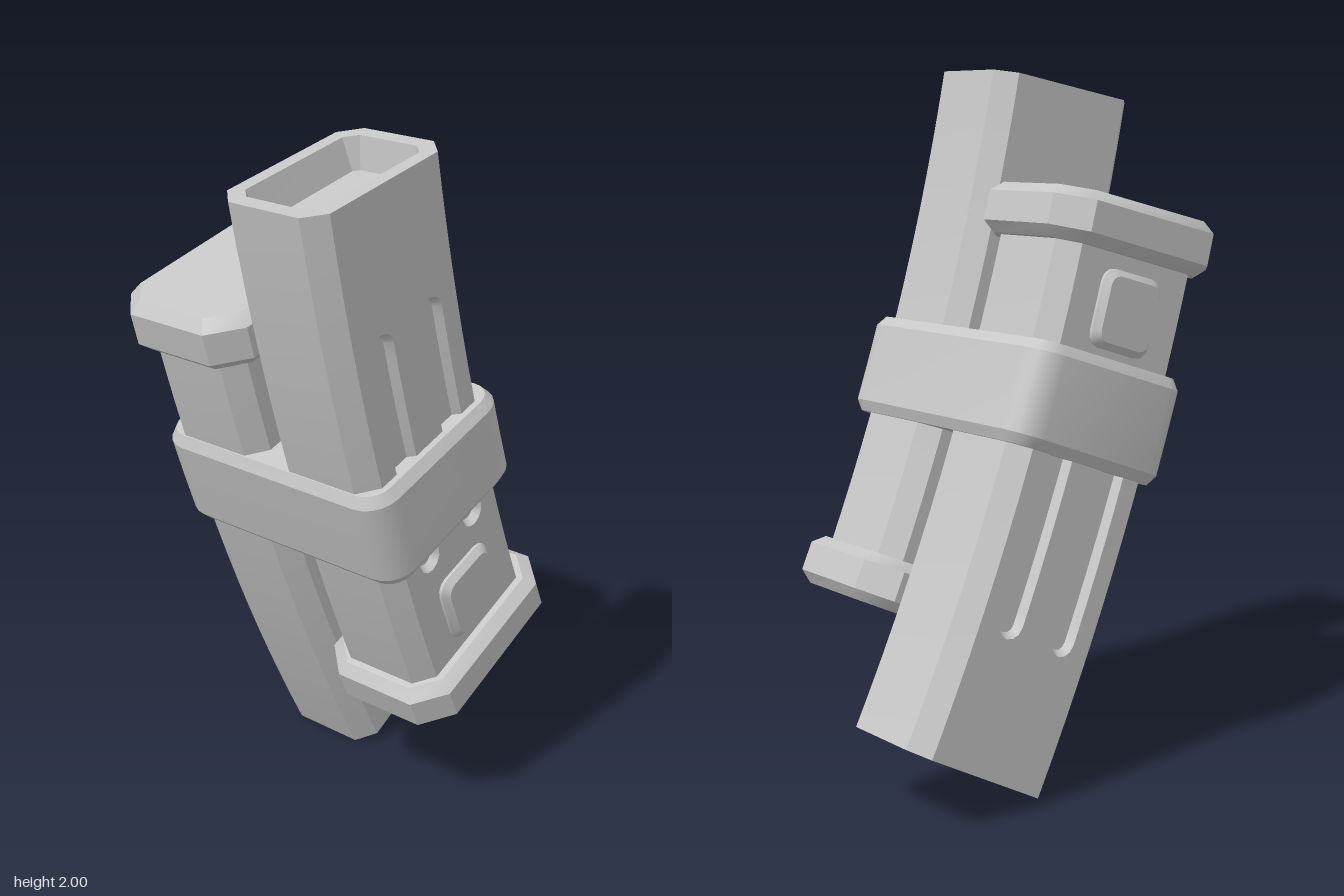
import * as THREE from 'three';
import { mergeGeometries, toCreasedNormals } from 'three/addons/utils/BufferGeometryUtils.js';

// Parts are drawn straight in (u across, v along, z), then bent along one big arc.
const R = 6.06, CX = 5.656, CY = 3.018, MID = THREE.MathUtils.degToRad(19.3);
const TOP = 0.973, HU = 0.258, HZ = 0.165, CH = 0.052, MAG_Z = 0.195;

// The arc is slightly flattened towards its middle
function bend(geometry) {
  const p = geometry.attributes.position;
  for (let i = 0; i < p.count; i++) {
    const v = p.getY(i), a = MID - v / R;
    const r = R - p.getX(i) - 0.002 - 0.012 * (1 - (v / TOP) ** 2);
    p.setXY(i, CX - r * Math.cos(a), CY - r * Math.sin(a));
  }
  return geometry;
}

// Skin between rings of equal length; sides listed in skip stay open
function loft(rings, { start = false, end = false, skip = [] } = {}) {
  const out = [], n = rings[0].length;
  const tri = (a, b, c) => out.push(...a, ...b, ...c);
  for (let i = 0; i + 1 < rings.length; i++) {
    for (let j = 0; j < n; j++) {
      if (skip.includes(j)) continue;
      const k = (j + 1) % n, lo = rings[i], hi = rings[i + 1];
      tri(lo[j], lo[k], hi[k]);
      tri(lo[j], hi[k], hi[j]);
    }
  }
  const cap = (ring, reverse) => {
    const c = [0, 1, 2].map(a => ring.reduce((s, q) => s + q[a], 0) / n);
    ring.forEach((q, j) => {
      const next = ring[(j + 1) % n];
      if (reverse) tri(c, next, q); else tri(c, q, next);
    });
  };
  if (start) cap(rings[0], true);
  if (end) cap(rings[rings.length - 1], false);
  return new THREE.BufferGeometry().setAttribute('position', new THREE.Float32BufferAttribute(out, 3));
}

// Flat face at height z with optional holes
function plate(outline, holes, z) {
  const vec = pts => pts.map(q => new THREE.Vector2(q[0], q[1]));
  const shape = new THREE.Shape(vec(outline));
  shape.holes = holes.map(h => new THREE.Path(vec(h)));
  const g = new THREE.ShapeGeometry(shape).toNonIndexed().translate(0, 0, z);
  g.deleteAttribute('uv');
  g.deleteAttribute('normal');
  return g;
}

const octagon = (a, b, c) => [
  [c - a, -b], [a - c, -b], [a, c - b], [a, b - c], [a - c, b], [c - a, b], [-a, b - c], [-a, c - b]];

function roundedRect(a, b, r, steps = 5) {
  const pts = [];
  [[1, -1], [1, 1], [-1, 1], [-1, -1]].forEach(([sx, sy], q) => {
    for (let i = 0; i <= steps; i++) {
      const t = (q - 1 + i / steps) * Math.PI / 2;
      pts.push([sx * (a - r) + r * Math.cos(t), sy * (b - r) + r * Math.sin(t)]);
    }
  });
  return pts;
}

// Slot outline, finely divided along its length so it bends cleanly
function slot(u, v0, v1, r) {
  const pts = [], ends = 6, len = 14;
  for (let i = 0; i <= len; i++) pts.push([u + r, v0 + (v1 - v0) * i / len]);
  for (let i = 1; i < ends; i++) {
    const t = Math.PI * i / ends;
    pts.push([u + r * Math.cos(t), v1 + r * Math.sin(t)]);
  }
  for (let i = len; i >= 0; i--) pts.push([u - r, v0 + (v1 - v0) * i / len]);
  for (let i = 1; i < ends; i++) {
    const t = Math.PI * (1 + i / ends);
    pts.push([u + r * Math.cos(t), v0 + r * Math.sin(t)]);
  }
  return pts;
}

const across = (pts, v) => pts.map(([x, y]) => [x, v, -y]);   // ring around the length
const facing = (pts, z) => pts.map(([x, y]) => [x, y, z]);    // ring on the broad face

function bodyGeometry() {
  const bottom = -0.52, steps = 14, levels = [];
  for (let i = 0; i <= steps; i++) levels.push(bottom + (TOP - bottom) * i / steps);

  // Chamfered sides, then rim and the shallow recess in the mouth
  const parts = [
    loft(levels.map(v => across(octagon(HU, HZ, CH), v)), { skip: [0, 4] }),
    loft([
      across(octagon(HU, HZ, CH), TOP),
      across(octagon(HU - 0.043, HZ - 0.04, 0.032), TOP),
      across(octagon(HU - 0.066, HZ - 0.063, 0.015), TOP - 0.09),
    ], { end: true }),
  ];

  // Broad faces with two sunken grooves each
  const edge = HU - CH;
  const outline = [...levels.map(v => [edge, v]), ...levels.slice().reverse().map(v => [-edge, v])];
  for (const turn of [0, Math.PI]) {
    const grooves = [-0.101, 0.101];
    const holes = grooves.map(u => slot(u, -0.12, 0.56, 0.043));
    const face = [plate(outline, holes, HZ)];
    grooves.forEach((u, i) => {
      const floor = slot(u, -0.12, 0.56, 0.028);
      face.push(loft([facing(holes[i], HZ), facing(floor, HZ - 0.022)]), plate(floor, [], HZ - 0.022));
    });
    parts.push(...face.map(g => g.rotateY(turn)));
  }
  return mergeGeometries(parts);
}

function baseGeometry() {
  const a = 0.309, b = 0.215, inset = 0.03;
  const small = octagon(a - inset, b - inset, 0.07), big = octagon(a, b, 0.083);
  return loft([across(small, -0.638), across(big, -0.608), across(big, -0.52), across(small, -0.49)],
    { start: true, end: true }).translate(0.003, 0, 0);
}

function padGeometry(turn) {
  const outer = roundedRect(0.11, 0.11, 0.04, 3), inner = roundedRect(0.092, 0.092, 0.03, 3);
  return loft([facing(outer, HZ - 0.01), facing(outer, HZ + 0.008), facing(inner, HZ + 0.026)], { end: true })
    .translate(0.003, -0.338, 0).rotateY(turn);
}

export function createModel() {
  const model = new THREE.Group();
  model.name = 'coupledMagazines';
  const grey = new THREE.MeshStandardMaterial({ color: 0xc6c6c6 });
  grey.name = 'lightGrey';

  const add = (parent, name, geometry) => {
    const mesh = new THREE.Mesh(toCreasedNormals(bend(geometry), 0.55), grey);
    mesh.name = name;
    parent.add(mesh);
  };

  // Two identical magazines, the rear one turned end for end
  for (const [name, flip] of [['frontMagazine', 0], ['rearMagazine', Math.PI]]) {
    const group = new THREE.Group();
    group.name = name;
    model.add(group);
    const place = g => g.translate(0, 0, MAG_Z).rotateX(flip);
    add(group, 'body', place(bodyGeometry()));
    add(group, 'basePlate', place(baseGeometry()));
    add(group, 'outerPad', place(padGeometry(0)));
    add(group, 'innerPad', place(padGeometry(Math.PI)));
  }

  // Clamp band holding both magazines
  const wide = roundedRect(0.287, 0.398, 0.085), narrow = roundedRect(0.267, 0.378, 0.065);
  add(model, 'clampBand', loft(
    [across(narrow, -0.148), across(wide, -0.118), across(wide, 0), across(wide, 0.118), across(narrow, 0.148)],
    { start: true, end: true }).translate(0.006, 0.058, 0));

  return model;
}
